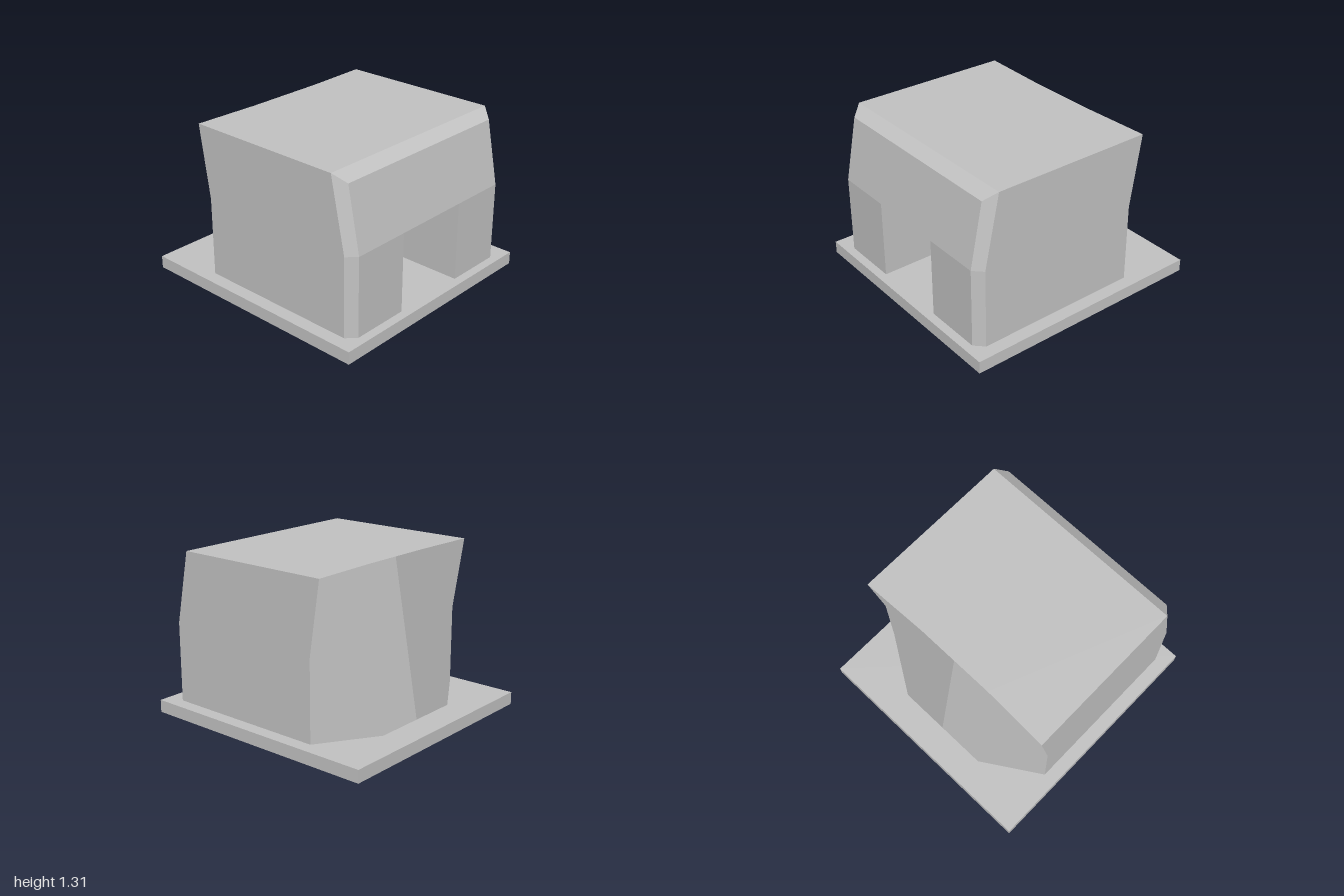
import * as THREE from 'three';

const grey = new THREE.MeshStandardMaterial({ color: 0xc2c2c2 });
grey.name = 'plain grey';

// One panel made of quads that share a single averaged normal.
function panel(name, quads, mirrored) {
  const pos = [], nor = [], sum = new THREE.Vector3();
  for (const quad of quads) {
    let q = quad.map(([x, y, z]) => new THREE.Vector3(mirrored ? -x : x, y, z));
    if (mirrored) q = q.reverse();
    const d1 = q[2].clone().sub(q[0]), d2 = q[3].clone().sub(q[1]);
    sum.add(d1.cross(d2));
    for (const i of [0, 1, 2, 0, 2, 3]) pos.push(q[i].x, q[i].y, q[i].z);
  }
  sum.normalize();
  for (let i = 0; i < pos.length; i += 3) nor.push(sum.x, sum.y, sum.z);
  const geometry = new THREE.BufferGeometry();
  geometry.setAttribute('position', new THREE.Float32BufferAttribute(pos, 3));
  geometry.setAttribute('normal', new THREE.Float32BufferAttribute(nor, 3));
  const mesh = new THREE.Mesh(geometry, grey);
  mesh.name = name;
  return mesh;
}

// Half outlines, running from the doorway round the side to the back centre.
const low = [[0.32, 0.1, 0.93], [0.79, 0.1, 0.93], [0.86, 0.1, 0.86],
  [0.86, 0.1, -0.48], [0.4, 0.1, -0.77], [0, 0.1, -0.77]];
const mid = [[0.32, 0.735, 0.93], [0.79, 0.735, 0.93], [0.86, 0.735, 0.86],
  [0.86, 0.735, -0.48], [0.365, 0.735, -0.655], [0, 0.735, -0.655]];
const high = [[0.32, 1.24, 0.83], [0.79, 1.24, 0.83], [0.86, 1.31, 0.74],
  [0.86, 1.31, -0.57], [0.33, 1.31, -0.55], [0, 1.31, -0.55]];

const band = (a, b, i) => [a[i], a[i + 1], b[i + 1], b[i]];

// Half of the building; the other half is its mirror image.
function buildHalf(mirrored) {
  const half = new THREE.Group();
  half.name = mirrored ? 'rightHalf' : 'leftHalf';
  const add = (name, ...quads) => half.add(panel(name, quads, mirrored));

  // Outer walls
  add('frontPillar', band(low, mid, 0));
  add('frontSlope', [[0, 0.735, 0.93], mid[1], high[1], [0, 1.24, 0.83]]);
  add('cornerLower', band(low, mid, 1));
  add('cornerUpper', band(mid, high, 1));
  add('sideWall', band(low, mid, 2), band(mid, high, 2));
  add('backWall', ...[3, 4].flatMap(i => [band(low, mid, i), band(mid, high, i)]));

  // Roof and its front bevel
  const ridge = [0, 1.31, 0.74];
  add('roofBevel', [[0, 1.24, 0.83], high[1], high[2], ridge]);
  add('roof', [ridge, high[2], high[3], high[4]], [ridge, high[4], high[5], ridge]);

  // Doorway recess with a ceiling that falls towards the back
  const back = -0.35, drop = 0.57;
  add('recessSide', [low[0], mid[0], [0.32, drop, back], [0.32, 0.1, back]]);
  add('recessCeiling', [[0, 0.735, 0.93], [0, drop, back], [0.32, drop, back], mid[0]]);
  add('recessBack', [[0, 0.1, back], [0.32, 0.1, back], [0.32, drop, back], [0, drop, back]]);
  return half;
}

export function createModel() {
  const model = new THREE.Group();
  model.name = 'building';

  // Base slab
  const base = new THREE.Mesh(new THREE.BoxGeometry(1.93, 0.1, 2), grey);
  base.name = 'baseSlab';
  base.position.y = 0.05;
  model.add(base);

  for (const mirrored of [false, true]) model.add(buildHalf(mirrored));
  return model;
}
